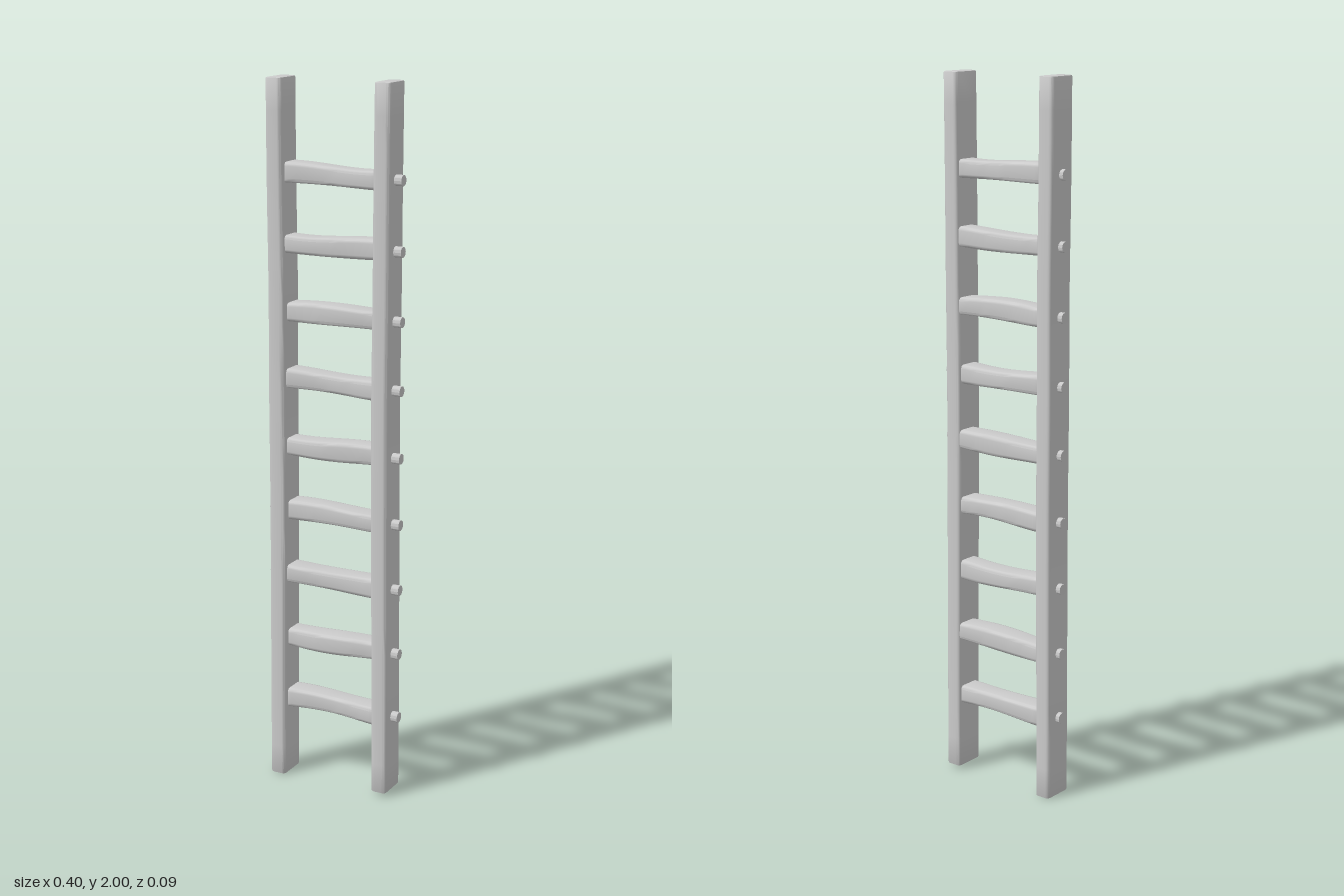
import * as THREE from 'three';
import { toCreasedNormals } from 'three/addons/utils/BufferGeometryUtils.js';

// Softly rounded rectangle centred on the origin
function roundedRect(w, h, r) {
  const s = new THREE.Shape();
  const x = w / 2, y = h / 2;
  s.moveTo(-x + r, -y);
  s.lineTo(x - r, -y);
  s.quadraticCurveTo(x, -y, x, -y + r);
  s.lineTo(x, y - r);
  s.quadraticCurveTo(x, y, x - r, y);
  s.lineTo(-x + r, y);
  s.quadraticCurveTo(-x, y, -x, y - r);
  s.lineTo(-x, -y + r);
  s.quadraticCurveTo(-x, -y, -x + r, -y);
  return s;
}

// Timber beam along z; warp(t) gives offsets and scales at t from 0 to 1
function beam(w, h, length, steps, warp) {
  const bevel = 0.004;
  const geo = new THREE.ExtrudeGeometry(roundedRect(w - 2 * bevel, h - 2 * bevel, 0.007), {
    depth: length - 2 * bevel, steps, curveSegments: 3,
    bevelEnabled: true, bevelThickness: bevel, bevelSize: bevel, bevelSegments: 2,
  });
  geo.translate(0, 0, bevel - length / 2);
  const p = geo.attributes.position;
  for (let i = 0; i < p.count; i++) {
    const { dx, dy, sx, sy } = warp(p.getZ(i) / length + 0.5);
    p.setXY(i, p.getX(i) * sx + dx, p.getY(i) * sy + dy);
  }
  return geo;
}

export function createModel() {
  const group = new THREE.Group();
  const material = new THREE.MeshStandardMaterial({ color: 0xcccccc });
  const add = (name, geo) => {
    const mesh = new THREE.Mesh(toCreasedNormals(geo, 0.7), material);
    mesh.name = name;
    group.add(mesh);
    return mesh;
  };

  // Two long side rails, each slightly bowed: bend centres from foot to top
  const rails = [
    ['rightRail', 0, 2, [-0.167, -0.166, -0.164, -0.163, -0.164, -0.163, -0.166, -0.167]],
    ['leftRail', 0.01, 2, [0.159, 0.158, 0.156, 0.154, 0.153, 0.155, 0.156, 0.158]],
  ];
  for (const [name, y0, y1, bend] of rails) {
    const curve = new THREE.CatmullRomCurve3(
      bend.map((x, i) => new THREE.Vector3(x, i, 0)));
    const geo = beam(0.048, 0.092, y1 - y0, 24, (t) => ({
      dx: curve.getPoint(THREE.MathUtils.clamp(t, 0, 1)).x, dy: 0,
      sx: 0.97 + 0.05 * Math.sin(t * Math.PI), sy: 1,
    }));
    geo.rotateX(-Math.PI / 2);
    geo.translate(0, (y0 + y1) / 2, 0.001);
    add(name, geo);
  }

  // Nine uneven rungs, each pinned by a peg through both rails
  for (let i = 0; i < 9; i++) {
    const y = 0.233 + i * 0.189;
    const phase = i * 2.4;
    const geo = beam(0.066, 0.052, 0.31, 12, (t) => ({
      dx: 0.004 * Math.sin(t * 5 + phase),
      dy: 0.003 * Math.sin(t * 4 + phase * 1.7),
      sx: 1 + 0.04 * Math.cos(t * 6 + phase),
      sy: 1 + 0.08 * Math.cos(t * 5 - phase),
    }));
    geo.rotateY(Math.PI / 2);
    add(`rung${i + 1}`, geo).position.set(-0.005, y, -0.005);

    for (const side of [-1, 1]) {
      const peg = new THREE.CylinderGeometry(0.015, 0.015, 0.06, 12);
      peg.rotateZ(Math.PI / 2);
      add(side < 0 ? `rightPeg${i + 1}` : `leftPeg${i + 1}`, peg)
        .position.set(side * 0.172, y, 0.002);
    }
  }
  return group;
}
